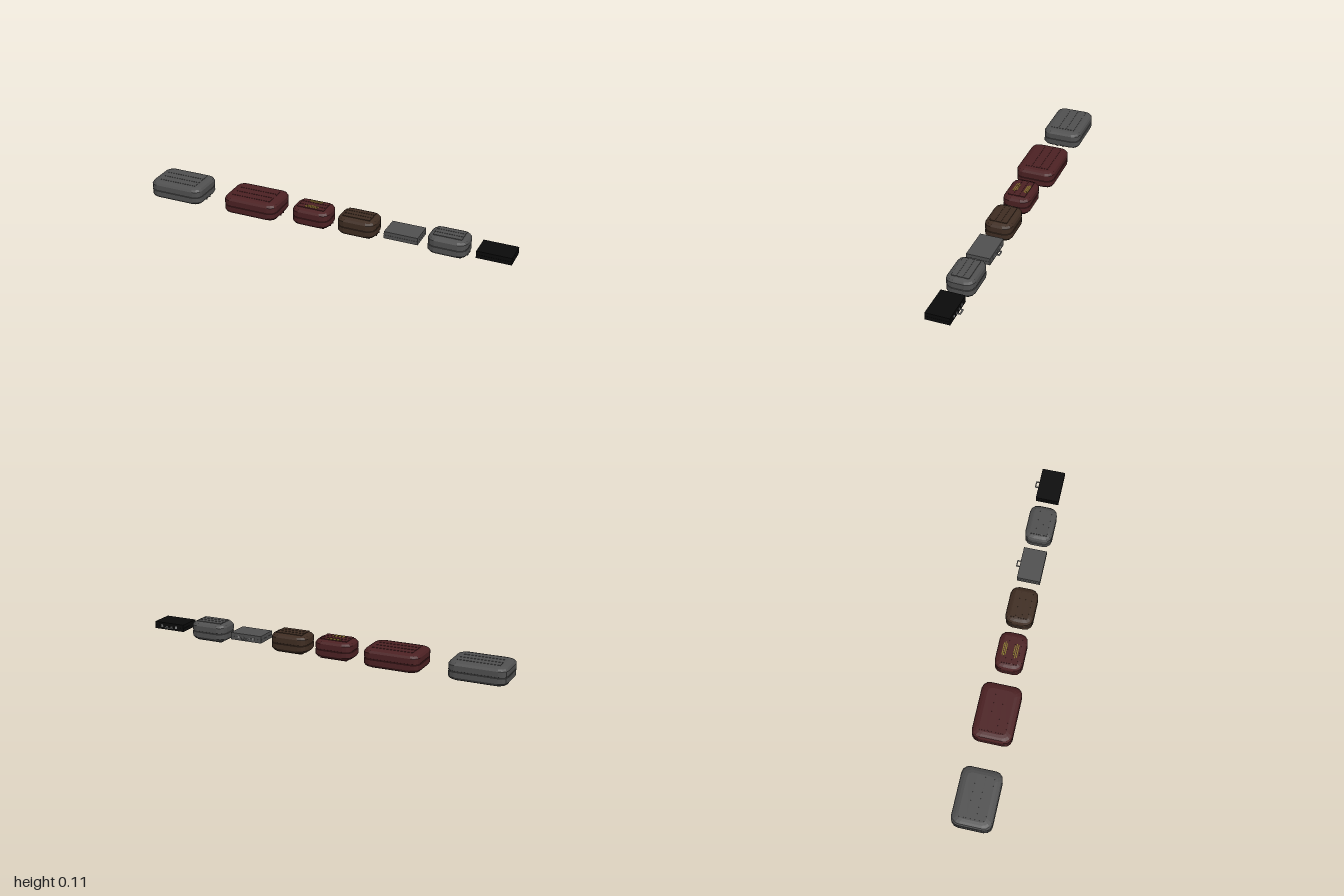
import * as THREE from 'three';

const mat = (name, color) => {
  const m = new THREE.MeshStandardMaterial({ color, flatShading: true });
  m.name = name;
  return m;
};

// Plan outline of a case: rectangle with rounded corners, inset by d
function outline(hx, hz, r, d) {
  const pts = [], n = 3;
  const corners = [[1, 1], [-1, 1], [-1, -1], [1, -1]];
  corners.forEach(([sx, sz], c) => {
    for (let i = 0; i <= n; i++) {
      const a = (c + i / n) * Math.PI / 2;
      const rr = Math.max(r - d * 0.4, 0.01);
      pts.push([sx * (hx - d - rr) + Math.cos(a) * rr, sz * (hz - d - rr) + Math.sin(a) * rr]);
    }
  });
  return pts;
}

// Hard shell: plan outlines stacked by [height, inset]
function shellGeometry(hx, hz, r) {
  const levels = [[0.001, 0.034], [0.004, 0.02], [0.011, 0.007], [0.022, 0], [0.049, 0],
    [0.0505, 0.003], [0.0535, 0.003], [0.055, 0], [0.083, 0], [0.094, 0.007], [0.1, 0.02], [0.103, 0.034]];
  const pos = [];
  const rings = levels.map(([y, d]) => outline(hx, hz, r, d).map(([x, z]) => [x, y, z]));
  const tri = (a, b, c) => pos.push(...a, ...b, ...c);
  const n = rings[0].length;
  const bottom = rings[0], top = rings[rings.length - 1];
  for (let i = 0; i < n; i++) {
    const j = (i + 1) % n;
    for (let k = 0; k < rings.length - 1; k++) {
      const a = rings[k], b = rings[k + 1];
      tri(a[i], b[i], b[j]);
      tri(a[i], b[j], a[j]);
    }
    tri([0, bottom[0][1], 0], bottom[i], bottom[j]);
    tri([0, top[0][1], 0], top[j], top[i]);
  }
  const g = new THREE.BufferGeometry();
  g.setAttribute('position', new THREE.Float32BufferAttribute(pos, 3));
  g.computeVertexNormals();
  return g;
}

function box(parent, name, material, size, at) {
  const m = new THREE.Mesh(new THREE.BoxGeometry(...size), material);
  m.name = name;
  m.position.set(...at);
  parent.add(m);
  return m;
}

// Rounded hard suitcase with ribbed faces and a small end handle
function suitcase(name, x, hx, hz, r, material) {
  const g = new THREE.Group();
  g.name = name;
  g.position.x = x;
  const shell = new THREE.Mesh(shellGeometry(hx, hz, r), material);
  shell.name = 'shell';
  g.add(shell);
  const pitch = hz * 0.44;
  for (const y of [0.001, 0.103]) {
    for (const k of [-1, 0, 1]) {
      box(g, 'facePanel', material, [hx * 1.45, 0.003, pitch - 0.005], [0, y, k * pitch]);
    }
  }
  // Carry handle on the lower edge of the +x end
  box(g, 'handleGrip', material, [0.005, 0.007, 0.036], [hx - 0.002, 0.019, 0]);
  for (const s of [-1, 1]) {
    box(g, 'handleFoot', material, [0.014, 0.009, 0.005], [hx - 0.007, 0.014, s * 0.0165]);
  }
  return g;
}

// Slim flat case with a handle and latches on its back edge
function briefcase(name, x, material, metal) {
  const g = new THREE.Group();
  g.name = name;
  g.position.set(x, 0.0515, 0);
  for (const s of [-1, 1]) {
    box(g, 'shellHalf', material, [0.18, 0.0185, 0.124], [0, s * 0.00975, 0.001]);
  }
  box(g, 'seam', material, [0.177, 0.002, 0.121], [0, 0, 0.001]);
  box(g, 'handleGrip', metal, [0.036, 0.006, 0.005], [0, -0.004, -0.079]);
  for (const s of [-1, 1]) {
    box(g, 'handlePost', metal, [0.005, 0.006, 0.02], [s * 0.0155, -0.004, -0.07]);
    box(g, 'handlePlate', metal, [0.012, 0.012, 0.002], [s * 0.0155, -0.004, -0.0615]);
    box(g, 'latch', metal, [0.012, 0.014, 0.002], [s * 0.045, 0, -0.0615]);
  }
  return g;
}

export function createModel() {
  const grey = mat('grey shell', 0x505050);
  const maroon = mat('maroon shell', 0x4c2123);
  const brown = mat('brown shell', 0x3f2d22);
  const black = mat('black shell', 0x0b0b0b);
  const metal = mat('metal fittings', 0x858585);
  const yellow = mat('yellow paint', 0x85792a);

  const model = new THREE.Group();
  model.name = 'luggageRow';
  model.add(suitcase('largeGreySuitcase', -0.85, 0.15, 0.104, 0.04, grey));
  model.add(suitcase('largeMaroonSuitcase', -0.405, 0.15, 0.104, 0.04, maroon));

  const striped = suitcase('stripedMaroonSuitcase', -0.0725, 0.1025, 0.073, 0.042, maroon);
  // Painted stripes on the top and bottom faces
  const stripes = [[-0.042, 0.066], [-0.034, 0.078], [-0.026, 0.06], [0.016, 0.056], [0.025, 0.08], [0.034, 0.07]];
  for (const y of [-0.0005, 0.1046]) {
    for (const [z, w] of stripes) box(striped, 'stripe', yellow, [w, 0.001, 0.0045], [0, y, z]);
  }
  model.add(striped);

  model.add(suitcase('brownSuitcase', 0.1825, 0.1025, 0.073, 0.042, brown));
  model.add(briefcase('greyBriefcase', 0.43, grey, metal));
  model.add(suitcase('smallGreySuitcase', 0.666, 0.1025, 0.073, 0.042, grey));
  model.add(briefcase('blackBriefcase', 0.91, black, metal));
  model.position.y = 0.001;
  return model;
}
